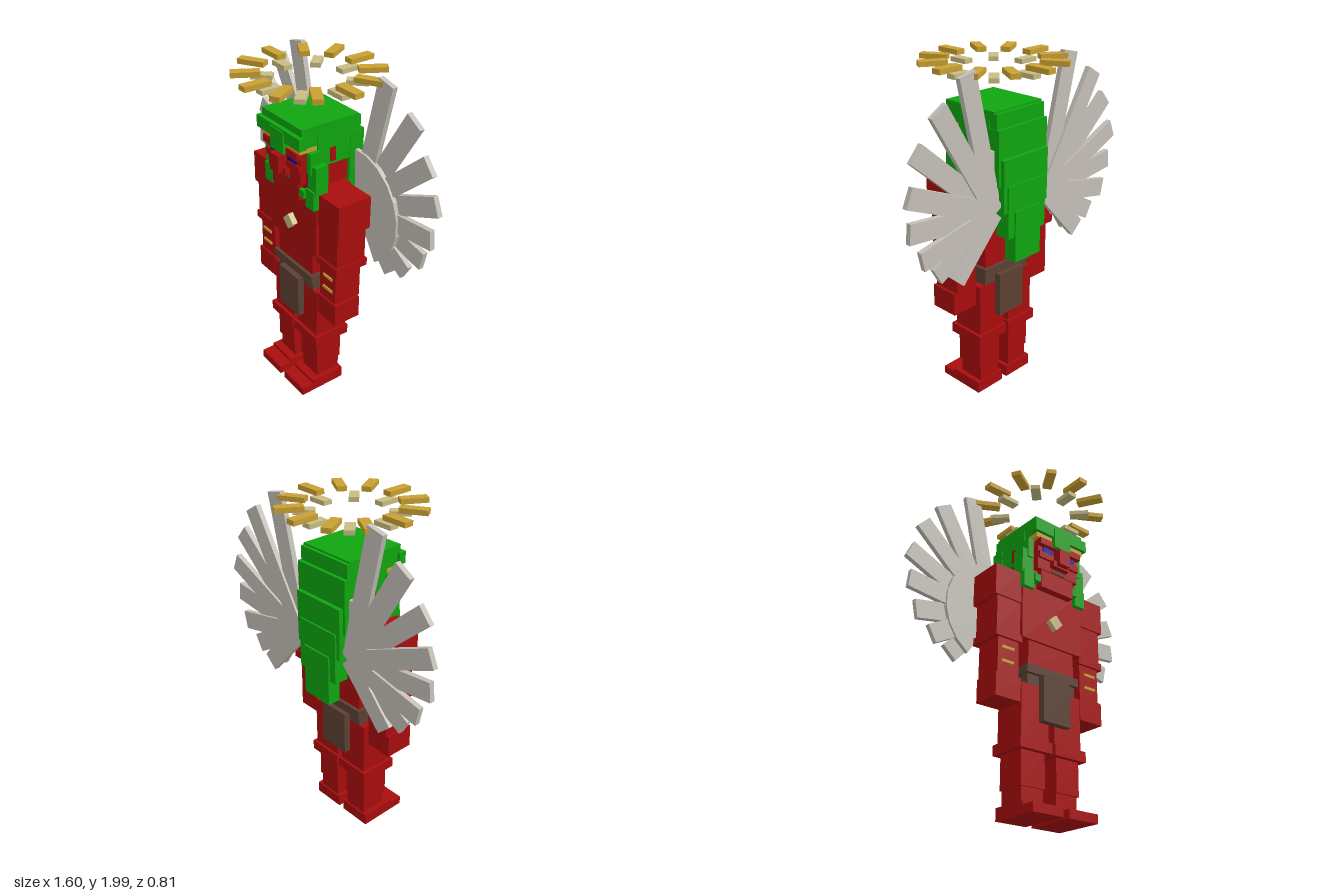
import * as THREE from 'three';

const mat = (name, color) => Object.assign(new THREE.MeshStandardMaterial({ color }), { name });

export function createModel() {
  const red = mat('red skin', 0xa80d0d), green = mat('green hair', 0x0fa510), grey = mat('grey feather', 0xc4c0b8);
  const gold = mat('gold', 0xc8a032), cream = mat('pale gold', 0xc8bc82), brown = mat('brown cloth', 0x5c4033);
  const blue = mat('blue eye', 0x0808a8);
  const model = new THREE.Group();
  model.name = 'wingedFigure';

  const group = (name) => {
    const g = new THREE.Group();
    g.name = name;
    model.add(g);
    return g;
  };
  // Box given by its limits on each axis
  const box = (parent, name, m, x0, x1, y0, y1, z0, z1) => {
    const mesh = new THREE.Mesh(new THREE.BoxGeometry(x1 - x0, y1 - y0, z1 - z0), m);
    mesh.position.set((x0 + x1) / 2, (y0 + y1) / 2, (z0 + z1) / 2);
    mesh.name = name;
    parent.add(mesh);
    return mesh;
  };
  // Box centred on x = 0
  const mid = (parent, name, m, w, ...r) => box(parent, name, m, -w, w, ...r);
  // Mirrored pair of boxes
  const pair = (parent, name, m, x0, x1, ...r) => {
    box(parent, name + 'Left', m, x0, x1, ...r);
    box(parent, name + 'Right', m, -x1, -x0, ...r);
  };

  // Legs
  const legs = group('legs');
  pair(legs, 'foot', red, 0.02, 0.22, 0, 0.05, -0.09, 0.21);
  pair(legs, 'heel', red, 0.021, 0.219, 0.04, 0.07, -0.09, 0.13);
  pair(legs, 'ankle', red, 0.045, 0.19, 0.07, 0.16, -0.08, 0.08);
  pair(legs, 'shin', red, 0.04, 0.2, 0.16, 0.35, -0.085, 0.09);
  pair(legs, 'knee', red, 0.01, 0.23, 0.35, 0.41, -0.115, 0.12);
  pair(legs, 'thigh', red, 0.02, 0.21, 0.41, 0.72, -0.1, 0.1);

  // Torso
  const torso = group('torso');
  mid(torso, 'hips', brown, 0.17, 0.72, 0.78, -0.1, 0.1);
  mid(torso, 'belt', brown, 0.185, 0.78, 0.83, -0.12, 0.12);
  mid(torso, 'frontCloth', brown, 0.095, 0.51, 0.775, 0.11, 0.15);
  mid(torso, 'backCloth', brown, 0.095, 0.51, 0.775, -0.145, -0.105);
  mid(torso, 'waist', red, 0.165, 0.83, 0.98, -0.1, 0.1);
  mid(torso, 'chest', red, 0.22, 0.98, 1.38, -0.115, 0.115);
  const gem = mid(torso, 'chestGem', cream, 0.034, 1.086, 1.154, 0.11, 0.148);
  gem.rotation.z = Math.PI / 4;

  // Arms
  const arms = group('arms');
  pair(arms, 'shoulder', red, 0.22, 0.4, 1.19, 1.38, -0.105, 0.105);
  pair(arms, 'upperArm', red, 0.22, 0.38, 0.99, 1.19, -0.095, 0.095);
  pair(arms, 'elbow', red, 0.21, 0.39, 0.945, 0.99, -0.105, 0.105);
  pair(arms, 'forearm', red, 0.225, 0.365, 0.735, 0.945, -0.08, 0.09);
  pair(arms, 'hand', red, 0.215, 0.38, 0.6, 0.735, -0.07, 0.1);
  for (const y of [0.81, 0.89]) pair(arms, 'armBand', gold, 0.26, 0.34, y - 0.008, y + 0.008, 0.089, 0.098);

  // Face
  const head = group('head');
  mid(head, 'skull', red, 0.165, 1.38, 1.7, -0.14, 0.13);
  mid(head, 'face', red, 0.15, 1.42, 1.61, 0.1, 0.165);
  mid(head, 'jaw', red, 0.12, 1.31, 1.42, 0.06, 0.16);
  mid(head, 'nose', red, 0.038, 1.46, 1.56, 0.16, 0.23);
  mid(head, 'nostrils', red, 0.058, 1.45, 1.49, 0.16, 0.2);
  mid(head, 'brow', red, 0.155, 1.57, 1.61, 0.16, 0.195);
  pair(head, 'cheekbone', red, 0.04, 0.15, 1.49, 1.53, 0.16, 0.18);
  pair(head, 'eye', blue, 0.04, 0.118, 1.53, 1.568, 0.165, 0.174);
  mid(head, 'mouth', brown, 0.05, 1.422, 1.44, 0.165, 0.172);
  pair(head, 'ear', red, 0.178, 0.186, 1.525, 1.605, -0.035, 0);
  mid(head, 'headband', gold, 0.175, 1.612, 1.642, 0.08, 0.186);

  // Hair
  const hair = group('hair');
  mid(hair, 'crown', green, 0.18, 1.64, 1.75, -0.18, 0.18);
  mid(hair, 'sides', green, 0.182, 1.51, 1.7, -0.15, 0.08);
  mid(hair, 'fringe', green, 0.195, 1.642, 1.71, 0.16, 0.205);
  mid(hair, 'fringeCentre', green, 0.06, 1.575, 1.7, 0.16, 0.212);
  pair(hair, 'temple', green, 0.165, 0.2, 1.49, 1.612, 0.07, 0.14);
  pair(hair, 'sideLock', green, 0.16, 0.235, 1.38, 1.54, 0.05, 0.13);
  pair(hair, 'sideLockEnd', green, 0.155, 0.23, 1.29, 1.4, 0.09, 0.14);
  pair(hair, 'lockCurl', green, 0.12, 0.16, 1.34, 1.385, 0.1, 0.155);
  // Tapering steps down the back: half width, bottom, top, back, front
  [[0.18, 1.5, 1.74, -0.2, -0.13], [0.185, 1.35, 1.66, -0.22, -0.13], [0.17, 1.2, 1.5, -0.245, -0.15],
    [0.145, 1.05, 1.35, -0.255, -0.165], [0.1, 0.9, 1.2, -0.265, -0.185]]
    .forEach(([w, y0, y1, z0, z1], i) => mid(hair, 'backHair' + (i + 1), green, w, y0, y1, z0, z1));

  // Wings: eight shortening feathers fanned behind a rounded plate
  const rad = THREE.MathUtils.degToRad;
  for (const s of [1, -1]) {
    const wing = group(s > 0 ? 'leftWing' : 'rightWing');
    wing.position.set(s * 0.206, 1.215, 0);
    for (let i = 0; i < 8; i++) {
      const length = 0.785 - 0.053 * i, a = rad(77 - 17.8 * i);
      const feather = new THREE.Mesh(new THREE.BoxGeometry(length, 0.11, 0.03), grey);
      feather.name = 'feather' + (i + 1);
      feather.position.set(s * Math.cos(a) * length / 2, Math.sin(a) * length / 2, i % 2 ? -0.206 : -0.193);
      feather.rotation.z = s * a;
      wing.add(feather);
    }
    const plate = new THREE.Shape();
    plate.moveTo(0, 0);
    for (let i = 0; i <= 9; i++) {
      const a = rad(95 - 17 * i);
      plate.lineTo(s * 0.335 * Math.cos(a), 0.335 * Math.sin(a));
    }
    const covert = new THREE.Mesh(new THREE.ExtrudeGeometry(plate, { depth: 0.025, bevelEnabled: false }), grey);
    covert.name = 'wingPlate';
    covert.position.z = -0.19;
    wing.add(covert);
  }

  // Halo: two rings of radial bars
  const halo = group('halo');
  const ring = (name, m, count, r0, r1, y, h) => {
    for (let i = 0; i < count; i++) {
      const a = (i / count) * Math.PI * 2;
      const bar = new THREE.Mesh(new THREE.BoxGeometry(r1 - r0, h, 0.055), m);
      bar.name = name;
      bar.position.set(Math.cos(a) * (r0 + r1) / 2, y, -Math.sin(a) * (r0 + r1) / 2);
      bar.rotation.y = a;
      halo.add(bar);
    }
  };
  ring('outerRay', gold, 12, 0.25, 0.403, 1.963, 0.028);
  ring('innerRay', cream, 8, 0.19, 0.305, 1.922, 0.026);

  return model;
}
